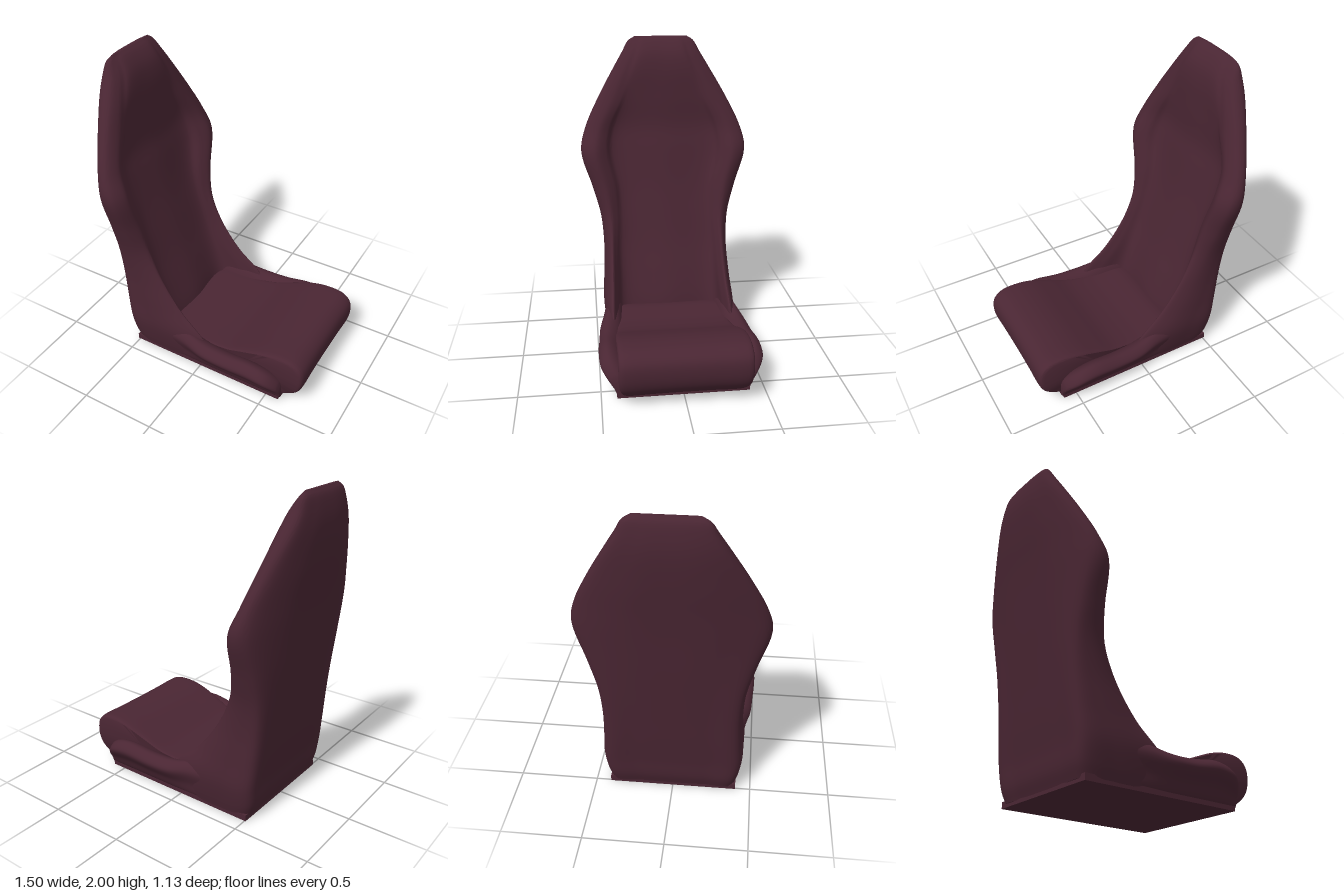
import * as THREE from 'three';
import { toCreasedNormals } from 'three/addons/utils/BufferGeometryUtils.js';

const V = (x, y, z) => new THREE.Vector3(x, y, z);
const lerp = THREE.MathUtils.lerp;

// Smooth capped skin through closed cross-sections that share a point count
function loft(sections, along, around) {
  const tracks = sections[0].map((_, i) => new THREE.CatmullRomCurve3(sections.map((s) => s[i])));
  const pos = [], index = [];
  for (let a = 0; a <= along; a++) {
    const ring = new THREE.CatmullRomCurve3(tracks.map((t) => t.getPoint(a / along)), true);
    for (let b = 0; b < around; b++) pos.push(...ring.getPoint(b / around).toArray());
  }
  for (let a = 0; a < along; a++) {
    for (let b = 0; b < around; b++) {
      const n = (b + 1) % around, p = a * around, q = p + around;
      index.push(p + b, p + n, q + n, p + b, q + n, q + b);
    }
  }
  // End caps
  for (const a of [0, along]) {
    const mid = V(0, 0, 0), start = a * around;
    for (let b = 0; b < around; b++) mid.add(V(0, 0, 0).fromArray(pos, (start + b) * 3));
    const c = pos.length / 3;
    pos.push(...mid.divideScalar(around).toArray());
    for (let b = 0; b < around; b++) {
      const p = start + b, n = start + (b + 1) % around;
      if (a === 0) index.push(c, n, p); else index.push(c, p, n);
    }
  }
  // Turn the skin outward if its enclosed volume is negative
  let volume = 0;
  const at = (i) => V(0, 0, 0).fromArray(pos, i * 3);
  for (let i = 0; i < index.length; i += 3) {
    volume += at(index[i]).dot(at(index[i + 1]).cross(at(index[i + 2])));
  }
  if (volume < 0) index.reverse();
  const geo = new THREE.BufferGeometry();
  geo.setAttribute('position', new THREE.Float32BufferAttribute(pos, 3));
  geo.setIndex(index);
  return toCreasedNormals(geo, 0.75);
}

// Horizontal U-shaped section: back centre, back corner, rim and inner face
function backSection([y, xb, xe, xf, xi, w, wi]) {
  const half = [
    [xb, 0], [lerp(xb, xe, 0.15), w * 0.5], [xe, w * 0.93],
    [lerp(xe, xf, 0.35), w], [lerp(xe, xf, 0.75), w - 0.01],
    [xf, (w + wi) / 2], [lerp(xi, xf, 0.6), wi + 0.02],
    [xi, wi * 0.92], [xi, 0],
  ];
  const mirror = half.slice(1, -1).reverse().map(([x, z]) => [x, -z]);
  return half.concat(mirror).map(([x, z]) => V(x, y, z));
}

function backrest() {
  // height, back centre, back corner, rim, inner face, half width, inner half width
  const stations = [
    [0.02, -0.51, -0.50, 0.10, -0.25, 0.405, 0.33],
    [0.10, -0.535, -0.525, 0.09, -0.25, 0.425, 0.33],
    [0.23, -0.55, -0.54, 0.03, -0.27, 0.445, 0.34],
    [0.40, -0.575, -0.56, -0.15, -0.32, 0.437, 0.335],
    [0.60, -0.60, -0.58, -0.29, -0.385, 0.43, 0.33],
    [0.80, -0.625, -0.595, -0.375, -0.44, 0.445, 0.32],
    [1.00, -0.65, -0.60, -0.41, -0.49, 0.495, 0.33],
    [1.25, -0.68, -0.60, -0.44, -0.54, 0.565, 0.38],
    [1.40, -0.70, -0.62, -0.50, -0.57, 0.535, 0.36],
    [1.60, -0.73, -0.665, -0.555, -0.575, 0.44, 0.27],
    [1.80, -0.75, -0.71, -0.60, -0.585, 0.325, 0.20],
    [1.90, -0.745, -0.72, -0.63, -0.61, 0.265, 0.16],
    [1.97, -0.73, -0.715, -0.67, -0.655, 0.225, 0.14],
    [2.00, -0.71, -0.70, -0.69, -0.69, 0.18, 0.11],
  ];
  return loft(stations.map(backSection), 78, 112);
}

function bolster(side) {
  // length position, inner z, outer z, top height
  const stations = [
    [-0.35, 0.33, 0.42, 0.28], [-0.10, 0.35, 0.455, 0.27],
    [0.05, 0.36, 0.485, 0.24], [0.20, 0.37, 0.495, 0.237],
    [0.40, 0.38, 0.505, 0.257], [0.52, 0.375, 0.495, 0.225],
    [0.585, 0.36, 0.45, 0.16], [0.60, 0.36, 0.42, 0.12],
  ];
  return loft(stations.map(([x, zi, zo, top]) => [
    [0.02, 0.30], [0.02, 0.395], [top * 0.42, lerp(0.40, zo, 0.45)],
    [top * 0.8, zo], [top, lerp(zi, zo, 0.6)], [top * 0.85, zi],
  ].map(([y, z]) => V(x, y, z * side))), 40, 36);
}

function cushion() {
  // Side outline of the seat pad, swept across its width
  const outline = [
    [-0.32, 0.03], [-0.32, 0.17], [-0.25, 0.205], [0, 0.205], [0.18, 0.235],
    [0.32, 0.29], [0.46, 0.34], [0.58, 0.358], [0.68, 0.345], [0.735, 0.295],
    [0.745, 0.2], [0.72, 0.12], [0.66, 0.06], [0.58, 0.015], [0.3, 0.015],
  ];
  // across width, scale of the outline at that point
  const steps = [
    [-1, 0.9], [-0.985, 0.955], [-0.95, 0.985], [-0.86, 1], [-0.5, 0.99], [0, 0.985],
    [0.5, 0.99], [0.86, 1], [0.95, 0.985], [0.985, 0.955], [1, 0.9],
  ];
  return loft(steps.map(([t, s]) => outline.map(([x, y]) => {
    const halfWidth = lerp(0.345, 0.4, THREE.MathUtils.smoothstep(x, -0.3, 0.5)) - 0.03 * Math.max(0, 0.15 - y) / 0.15;
    return V(0.25 + (x - 0.25) * lerp(s, 1, 0.4), 0.17 + (y - 0.17) * s, t * halfWidth);
  })), 60, 90);
}

export function createModel() {
  const model = new THREE.Group();
  model.name = 'bucketSeat';
  const upholstery = new THREE.MeshStandardMaterial({ color: 0x4a2633 });
  upholstery.name = 'burgundy upholstery';

  const add = (name, geometry) => {
    const mesh = new THREE.Mesh(geometry, upholstery);
    mesh.name = name;
    model.add(mesh);
    return mesh;
  };

  add('backrest', backrest());
  add('seatCushion', cushion());
  add('leftBolster', bolster(-1));
  add('rightBolster', bolster(1));
  // Flat floor under the shell
  add('base', new THREE.BoxGeometry(1.1, 0.04, 0.81)).position.set(0.04, 0.02, 0);
  return model;
}
